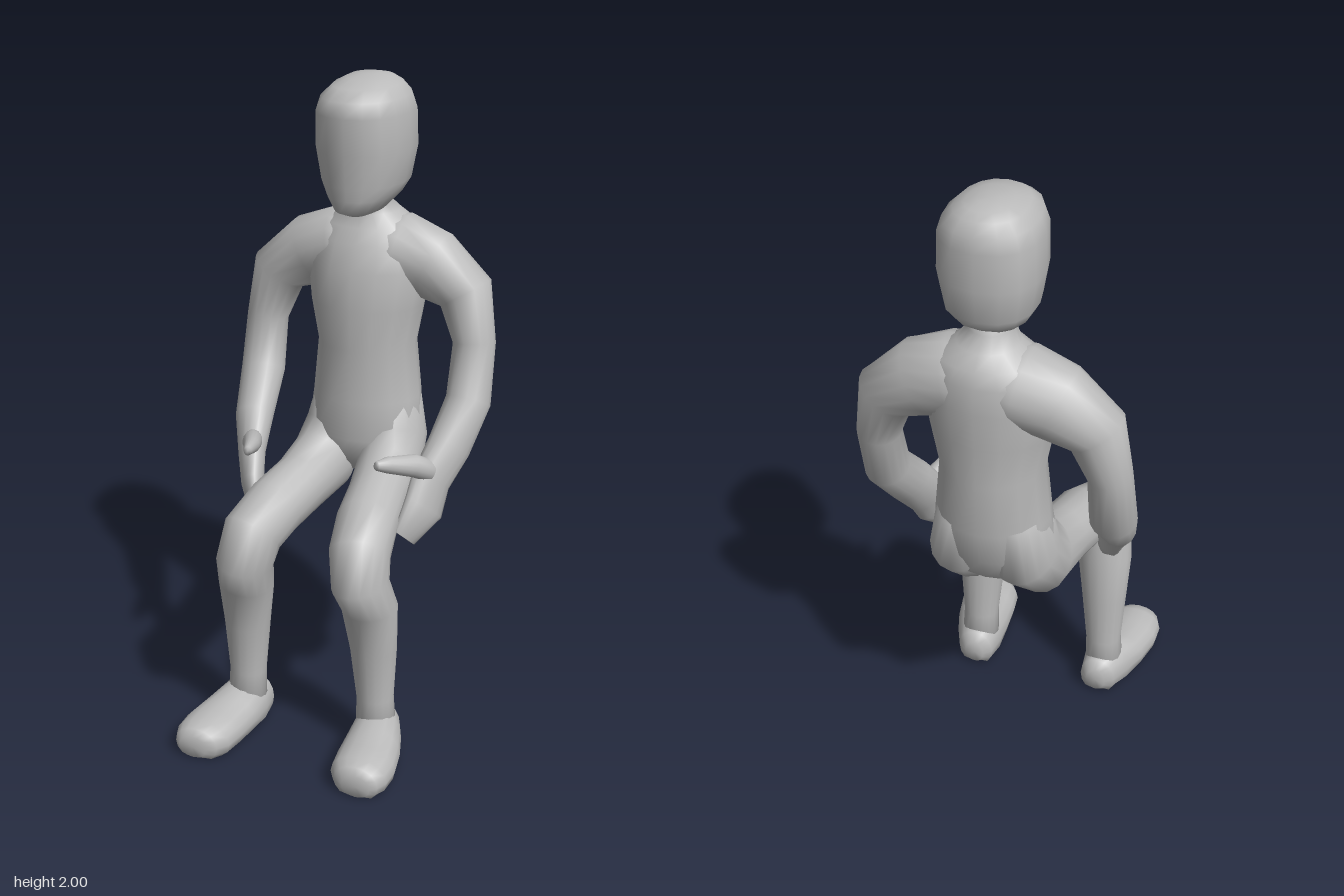
import * as THREE from 'three';

const SIDES = 16;
const X = new THREE.Vector3(1, 0, 0);
const Y = new THREE.Vector3(0, 1, 0);
const Z = new THREE.Vector3(0, 0, 1);

// Skin over elliptical sections [x, y, z, a, b]; a runs along the hint axis.
// Sections follow the path unless a fixed normal is given; floor clamps y.
function loft(sections, { hint = X, normal = null, power = 1, taper = 0, floor = -1 } = {}) {
  const centres = sections.map(s => new THREE.Vector3(s[0], s[1], s[2]));
  const last = centres.length - 1;
  const pos = [], index = [];
  const add = p => pos.push(p.x, Math.max(p.y, floor), p.z);
  sections.forEach(([, , , a, b], i) => {
    const n = normal ? normal.clone()
      : centres[Math.min(i + 1, last)].clone().sub(centres[Math.max(i - 1, 0)]).normalize();
    const u = hint.clone().addScaledVector(n, -hint.dot(n)).normalize();
    const v = n.clone().cross(u);
    for (let j = 0; j < SIDES; j++) {
      const t = j / SIDES * Math.PI * 2;
      const c = Math.cos(t), s = Math.sin(t);
      const cu = Math.sign(c) * Math.abs(c) ** power;
      const sv = Math.sign(s) * Math.abs(s) ** power;
      // with y as normal, v points to -z, so taper narrows the front
      add(centres[i].clone().addScaledVector(u, a * cu * (1 + taper * sv)).addScaledVector(v, b * sv));
    }
  });
  for (let i = 0; i < last; i++) {
    for (let j = 0; j < SIDES; j++) {
      const k = (j + 1) % SIDES;
      const p = i * SIDES + j, q = i * SIDES + k;
      index.push(p, q, q + SIDES, p, q + SIDES, p + SIDES);
    }
  }
  // end caps
  const start = pos.length / 3;
  add(centres[0]);
  add(centres[last]);
  for (let j = 0; j < SIDES; j++) {
    const k = (j + 1) % SIDES;
    index.push(start, k, j, start + 1, last * SIDES + j, last * SIDES + k);
  }
  const g = new THREE.BufferGeometry();
  g.setAttribute('position', new THREE.Float32BufferAttribute(pos, 3));
  g.setIndex(index);
  g.computeVertexNormals();
  return g;
}

// Level sections [y, front z, back z, half width]
const level = rows => rows.map(([y, f, b, w]) => [0, y, (f + b) / 2, w, (f - b) / 2]);

export function createModel() {
  const model = new THREE.Group();
  model.name = 'seatedFigure';
  const grey = new THREE.MeshStandardMaterial({ color: 0xbbbbbb });
  grey.name = 'plainGrey';
  const part = (name, geometry, parent = model) => {
    const mesh = new THREE.Mesh(geometry, grey);
    mesh.name = name;
    parent.add(mesh);
  };

  // Torso and neck
  part('torso', loft(level([
    [0.755, -0.20, -0.32, 0.07], [0.80, -0.16, -0.375, 0.15], [0.88, -0.13, -0.41, 0.185],
    [1.00, -0.14, -0.44, 0.173], [1.17, -0.14, -0.437, 0.155], [1.30, -0.135, -0.443, 0.18],
    [1.42, -0.145, -0.45, 0.195], [1.50, -0.175, -0.445, 0.18], [1.545, -0.20, -0.43, 0.15],
    [1.585, -0.22, -0.40, 0.09], [1.62, -0.215, -0.36, 0.065], [1.70, -0.21, -0.35, 0.065],
  ]), { normal: Y }));

  // Head with a flattened, narrower face
  part('head', loft(level([
    [1.595, -0.15, -0.25, 0.035], [1.61, -0.112, -0.32, 0.07], [1.65, -0.105, -0.38, 0.105],
    [1.69, -0.10, -0.41, 0.127], [1.79, -0.088, -0.425, 0.145], [1.90, -0.08, -0.422, 0.142],
    [1.945, -0.092, -0.412, 0.127], [1.975, -0.135, -0.39, 0.098], [1.992, -0.20, -0.365, 0.065],
    [2.0, -0.26, -0.325, 0.03],
  ]), { normal: Y, power: 0.87, taper: 0.08 }));

  for (const s of [1, -1]) {
    const limb = new THREE.Group();
    limb.name = s > 0 ? 'leftLimbs' : 'rightLimbs';
    model.add(limb);
    const side = rows => rows.map(([x, ...rest]) => [x * s, ...rest]);

    // Buttock, thigh, bent knee and shin
    part('leg', loft(side([
      [0.085, 1.02, -0.305, 0.075, 0.115], [0.098, 0.87, -0.285, 0.097, 0.128],
      [0.112, 0.775, -0.19, 0.10, 0.12], [0.13, 0.745, -0.05, 0.092, 0.097],
      [0.153, 0.72, 0.09, 0.095, 0.094], [0.176, 0.675, 0.20, 0.092, 0.1],
      [0.19, 0.59, 0.228, 0.087, 0.094], [0.205, 0.50, 0.19, 0.088, 0.074],
      [0.212, 0.35, 0.172, 0.073, 0.063], [0.216, 0.18, 0.165, 0.058, 0.055],
      [0.22, 0.07, 0.165, 0.062, 0.06],
    ]), {}), limb);

    // Foot with a flat sole
    part('foot', loft(side([
      [0.215, 0.05, 0.08, 0.032, 0.04], [0.217, 0.05, 0.10, 0.058, 0.07],
      [0.228, 0.05, 0.17, 0.078, 0.092], [0.243, 0.045, 0.25, 0.09, 0.075],
      [0.256, 0.043, 0.34, 0.096, 0.068], [0.26, 0.042, 0.405, 0.09, 0.066],
      [0.265, 0.042, 0.44, 0.07, 0.055], [0.27, 0.04, 0.455, 0.045, 0.035],
    ]), { normal: Z, power: 0.95, floor: 0 }), limb);

    // Shoulder, arm and flat hand; the left hand sits slightly further back
    const back = s > 0 ? 0.025 : 0;
    part('arm', loft(side([
      [0.0, 1.465, -0.31, 0.13, 0.11], [0.10, 1.455, -0.312, 0.122, 0.122],
      [0.20, 1.425, -0.315, 0.103, 0.115], [0.31, 1.35, -0.31, 0.085, 0.09],
      [0.347, 1.20, -0.295, 0.066, 0.066], [0.352, 1.03, -0.265 + back, 0.07, 0.07],
      [0.327, 0.91, -0.14, 0.073, 0.06], [0.295, 0.82, -0.05 - back, 0.07, 0.042],
      [0.268 + back, 0.75, 0.005 - back, 0.075, 0.036],
      [0.23 + back, 0.67, 0.065 - back, 0.05, 0.018],
    ]), { hint: new THREE.Vector3(-0.6 * s, 0, 1) }), limb);

    // Thumb
    part('thumb', loft(side([
      [0.295, 0.86, -0.06, 0.03, 0.035], [0.262, 0.89, 0.015 - back, 0.03, 0.035],
      [0.23 - back, 0.91, 0.085 - back, 0.024, 0.025],
      [0.212 - back, 0.92, 0.15 - 2 * back, 0.012, 0.014],
    ])), limb);
  }
  return model;
}
